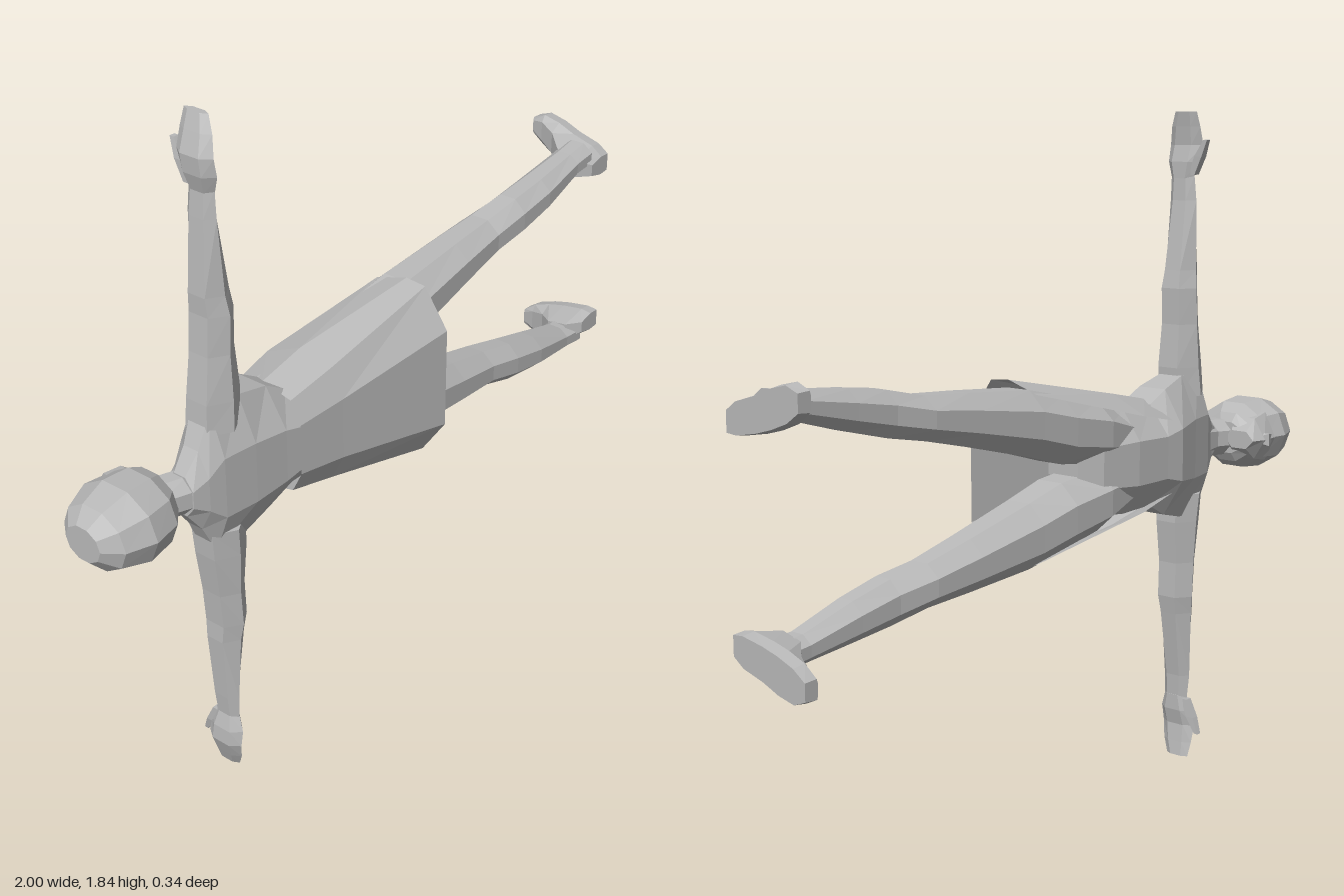
import * as THREE from 'three';

const CY = 0.92; // height of the body's line of symmetry

// Flat-faced surface through rings of points; closed rings get end caps.
function skin(rings, closed = true) {
  const n = rings[0].length, pos = rings.flat(2), idx = [];
  const spans = closed ? n : n - 1;
  for (let i = 0; i < rings.length - 1; i++) {
    for (let j = 0; j < spans; j++) {
      const a = i * n + j, b = i * n + (j + 1) % n;
      idx.push(a, b, a + n, b, b + n, a + n);
    }
  }
  if (closed) {
    const last = (rings.length - 1) * n;
    for (let j = 1; j < n - 1; j++) idx.push(0, j + 1, j, last, last + j, last + j + 1);
    // turn the faces outward
    const v = k => new THREE.Vector3().fromArray(pos, idx[k] * 3);
    let volume = 0;
    for (let k = 0; k < idx.length; k += 3) volume += v(k).dot(v(k + 1).cross(v(k + 2)));
    if (volume < 0) idx.reverse();
  }
  const g = new THREE.BufferGeometry();
  g.setAttribute('position', new THREE.Float32BufferAttribute(pos, 3));
  g.setIndex(idx);
  const flat = g.toNonIndexed();
  flat.computeVertexNormals();
  return flat;
}

// Rings along x. Section: [x, dyMin, dyMax, zMin, zMax]; side mirrors in y.
function alongX(sections, n, side = 1, turn = 0.5) {
  return skin(sections.map(([x, y0, y1, z0, z1]) => Array.from({ length: n }, (_, j) => {
    const a = (j + turn) / n * Math.PI * 2, k = turn ? 1 / Math.cos(Math.PI / n) : 1;
    return [x, CY + side * ((y0 + y1) / 2 + Math.cos(a) * k * (y1 - y0) / 2),
      (z0 + z1) / 2 + Math.sin(a) * k * (z1 - z0) / 2];
  })));
}

// Rings along y. Section: [dy, xMin, xMax, zMin, zMax].
function alongY(sections, n, side) {
  return skin(sections.map(([y, x0, x1, z0, z1]) => Array.from({ length: n }, (_, j) => {
    const a = (j + 0.5) / n * Math.PI * 2, k = 1 / Math.cos(Math.PI / n);
    return [(x0 + x1) / 2 + Math.cos(a) * Math.min(k, 1.15) * (x1 - x0) / 2, CY + side * y,
      (z0 + z1) / 2 + Math.sin(a) * Math.min(k, 1.15) * (z1 - z0) / 2];
  })));
}

export function createModel() {
  const model = new THREE.Group();
  const grey = new THREE.MeshStandardMaterial({ color: 0xb8b8b8, flatShading: true, side: THREE.DoubleSide });
  grey.name = 'plain grey';
  const add = (name, geometry) => {
    const mesh = new THREE.Mesh(geometry, grey);
    mesh.name = name;
    model.add(mesh);
  };

  // Rounded skull with hair
  add('head', alongX([
    [-1.0, -0.045, 0.045, -0.085, 0.02],
    [-0.965, -0.08, 0.08, -0.125, 0.065],
    [-0.89, -0.1, 0.1, -0.155, 0.09],
    [-0.81, -0.093, 0.093, -0.145, 0.075],
    [-0.765, -0.07, 0.07, -0.13, 0.035],
    [-0.75, -0.045, 0.045, -0.11, 0.01]], 10));
  add('jaw', alongX([
    [-0.84, -0.07, 0.07, -0.15, -0.03],
    [-0.78, -0.058, 0.058, -0.155, -0.03],
    [-0.74, -0.025, 0.025, -0.145, -0.06]], 6));
  add('nose', alongX([
    [-0.84, -0.008, 0.008, -0.15, -0.13],
    [-0.79, -0.018, 0.018, -0.172, -0.13],
    [-0.78, -0.012, 0.012, -0.155, -0.13]], 4));
  add('neck', alongX([
    [-0.8, -0.05, 0.05, -0.09, 0.01],
    [-0.71, -0.052, 0.052, -0.052, 0.045],
    [-0.63, -0.07, 0.07, -0.06, 0.06]], 8));

  add('torso', alongX([
    [-0.72, -0.055, 0.055, -0.04, 0.045],
    [-0.68, -0.11, 0.11, -0.05, 0.06],
    [-0.635, -0.2, 0.2, -0.07, 0.07],
    [-0.54, -0.2, 0.2, -0.095, 0.082],
    [-0.44, -0.175, 0.175, -0.125, 0.09],
    [-0.38, -0.14, 0.14, -0.12, 0.097],
    [-0.26, -0.145, 0.145, -0.115, 0.09],
    [-0.14, -0.13, 0.13, -0.09, 0.08],
    [-0.08, -0.05, 0.05, -0.05, 0.05]], 8));

  // Coat tail wrapped round the back and open in front: half rows of [dy, z]
  const rows = [
    [-0.4, [0.1, -0.12], [0.15, -0.02], [0.13, 0.07], [0.07, 0.1]],
    [-0.26, [0.13, -0.13], [0.18, -0.02], [0.16, 0.08], [0.085, 0.118]],
    [0.09, [0.22, -0.055], [0.25, 0.04], [0.245, 0.1], [0.14, 0.172]]];
  add('coatTail', skin(rows.map(([x, ...half]) => [
    ...half.map(([y, z]) => [x, CY + y, z]),
    ...half.slice().reverse().map(([y, z]) => [x, CY - y, z])]), false));

  for (const side of [1, -1]) {
    const label = side > 0 ? 'upper' : 'lower';

    add(label + 'Arm', alongY([
      [0.14, -0.655, -0.54, -0.06, 0.06],
      [0.22, -0.65, -0.535, -0.055, 0.058],
      [0.34, -0.635, -0.545, -0.05, 0.052],
      [0.44, -0.628, -0.542, -0.05, 0.052],
      [0.49, -0.63, -0.55, -0.045, 0.045],
      [0.68, -0.618, -0.577, -0.038, 0.038],
      [0.75, -0.612, -0.58, -0.032, 0.035]], 6, side));

    add(label + 'Hand', alongY([
      [0.74, -0.612, -0.578, -0.03, 0.034],
      [0.785, -0.625, -0.578, -0.045, 0.048],
      [0.83, -0.628, -0.588, -0.05, 0.046],
      [0.88, -0.61, -0.582, -0.048, 0.035],
      [0.92, -0.595, -0.576, -0.045, 0.018]], 6, side));

    add(label + 'Thumb', alongY([
      [0.75, -0.61, -0.585, -0.045, -0.02],
      [0.8, -0.61, -0.582, -0.07, -0.04],
      [0.845, -0.6, -0.582, -0.087, -0.072]], 4, side));

    add(label + 'Leg', alongX([
      [-0.27, 0.01, 0.13, -0.09, 0.07],
      [-0.16, 0.008, 0.175, -0.105, 0.085],
      [-0.02, 0.025, 0.205, -0.1, 0.09],
      [0.1, 0.06, 0.232, -0.09, 0.085],
      [0.32, 0.115, 0.25, -0.078, 0.07],
      [0.47, 0.15, 0.26, -0.07, 0.06],
      [0.58, 0.17, 0.285, -0.05, 0.068],
      [0.7, 0.2, 0.3, -0.045, 0.068],
      [0.86, 0.245, 0.315, -0.042, 0.052],
      [0.93, 0.25, 0.325, -0.045, 0.052]], 8, side));

    // Foot: cross-sections from heel to toe, turned outward; [z, dy, half width, x of the instep]
    add(label + 'Foot', skin([
      [0.062, 0.255, 0.028, 0.92],
      [0.03, 0.265, 0.042, 0.88],
      [-0.035, 0.28, 0.046, 0.885],
      [-0.085, 0.297, 0.05, 0.93],
      [-0.135, 0.312, 0.046, 0.952],
      [-0.172, 0.318, 0.024, 0.962]].map(([z, y, w, x]) => [
      [x, y - w * 0.6], [x, y + w * 0.6], [0.965, y + w], [1, y + w * 0.9],
      [1, y - w * 0.9], [0.965, y - w]].map(([px, py]) => [px, CY + side * py, z]))));
  }
  return model;
}
